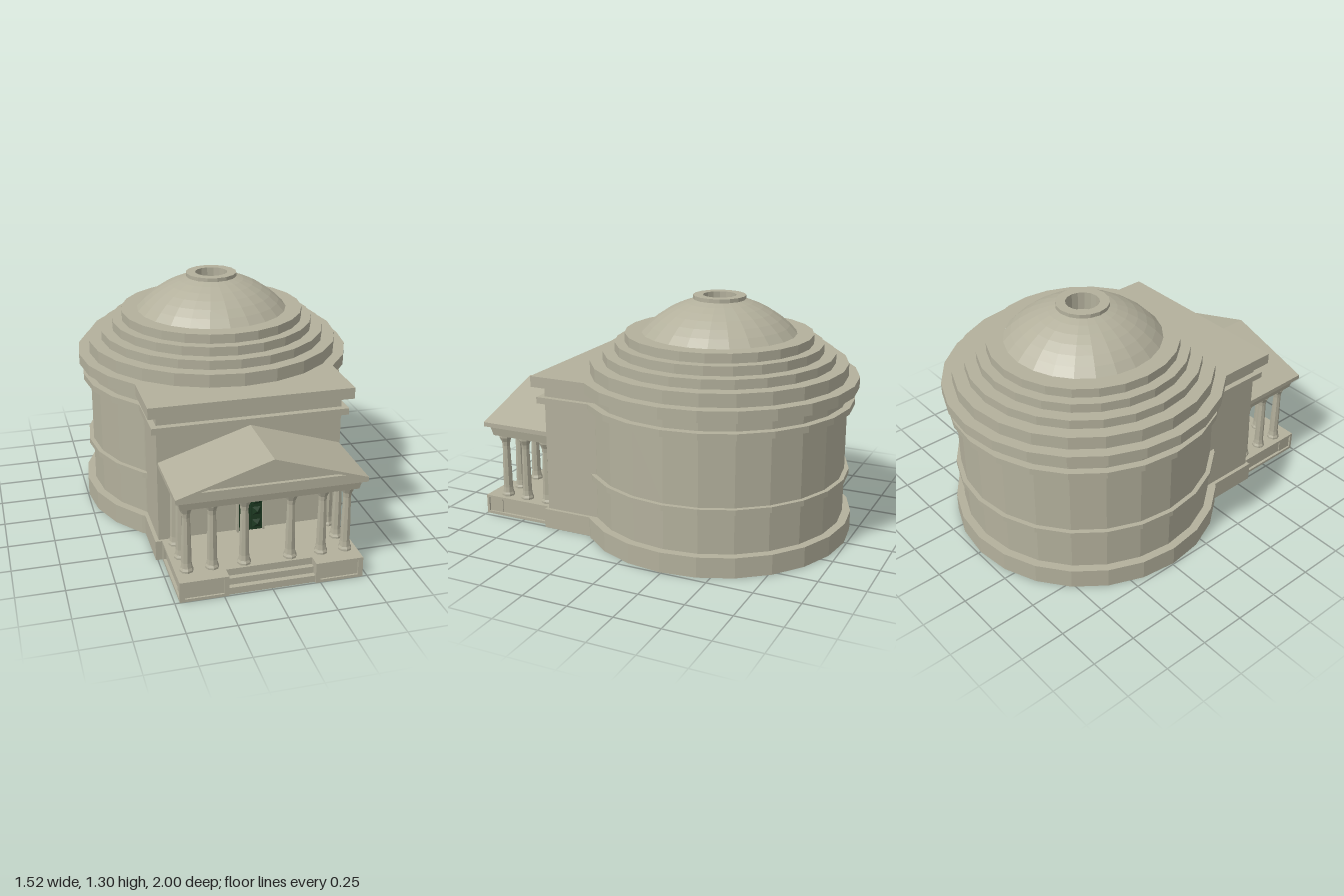
import * as THREE from 'three';

const stone = new THREE.MeshStandardMaterial({ color: 0xb3b09c });
stone.name = 'stone';
const green = new THREE.MeshStandardMaterial({ color: 0x1d3a22 });
green.name = 'doorGreen';

const DRUM_Z = -0.24;
const WALL_Z = 0.57;

export function createModel() {
  const model = new THREE.Group();
  model.name = 'domedTemple';

  // Adds a faceted mesh
  function add(name, geometry, material = stone, x = 0, y = 0, z = 0, parent = model) {
    const flat = geometry.index ? geometry.toNonIndexed() : geometry;
    flat.computeVertexNormals();
    const mesh = new THREE.Mesh(flat, material);
    mesh.name = name;
    mesh.position.set(x, y, z);
    parent.add(mesh);
    return mesh;
  }

  // Box given by its limits on each axis
  function box(name, x0, x1, y0, y1, z0, z1, material = stone) {
    return add(name, new THREE.BoxGeometry(x1 - x0, y1 - y0, z1 - z0), material,
      (x0 + x1) / 2, (y0 + y1) / 2, (z0 + z1) / 2);
  }

  function lathe(name, profile, sides, x = 0, y = 0, z = 0) {
    const points = profile.map(([r, h]) => new THREE.Vector2(r, h));
    return add(name, new THREE.LatheGeometry(points, sides), stone, x, y, z);
  }

  function polygon(points, hole) {
    const shape = new THREE.Shape(points.map(([x, y]) => new THREE.Vector2(x, y)));
    if (hole) shape.holes.push(new THREE.Path(hole.map(([x, y]) => new THREE.Vector2(x, y))));
    return shape;
  }

  const extrude = (shape, depth) => new THREE.ExtrudeGeometry(shape, { depth, bevelEnabled: false });
  const rect = (x0, x1, y0, y1) => [[x0, y0], [x1, y0], [x1, y1], [x0, y1]];

  // Drum with its base, string courses, cornice and stepped rings
  lathe('drum', [
    [0, 0], [0.745, 0], [0.745, 0.11], [0.7, 0.11],
    [0.7, 0.33], [0.725, 0.33], [0.725, 0.36], [0.7, 0.36],
    [0.7, 0.725], [0.74, 0.725], [0.74, 0.76], [0.7, 0.76],
    [0.7, 0.82], [0.76, 0.82], [0.76, 0.88], [0.7, 0.88],
    [0.7, 0.95], [0.63, 0.95], [0.63, 1.0], [0.565, 1.0], [0.565, 1.05],
    [0.51, 1.05], [0.51, 1.1], [0.42, 1.1],
  ], 24, 0, 0, DRUM_Z);

  // Shallow spherical dome, open at the top
  const dome = [];
  for (let i = 0; i <= 6; i++) {
    const a = THREE.MathUtils.lerp(Math.asin(0.42 / 0.559), Math.asin(0.125 / 0.559), i / 6);
    dome.push([0.559 * Math.sin(a), 0.731 + 0.559 * Math.cos(a)]);
  }
  lathe('dome', dome, 24, 0, 0, DRUM_Z);
  lathe('oculusRing', [
    [0.125, 1.277], [0.142, 1.277], [0.142, 1.298], [0.09, 1.298], [0.09, 1.2], [0, 1.2],
  ], 16, 0, 0, DRUM_Z);

  // Rectangular block joining drum and porch
  box('blockWall', -0.49, 0.49, 0, 0.85, DRUM_Z, WALL_Z);
  box('blockBase', -0.51, 0.51, 0, 0.11, DRUM_Z, 0.585);
  box('blockStringCourse', -0.52, 0.52, 0.725, 0.76, DRUM_Z, 0.605);
  box('blockCornice', -0.54, 0.54, 0.82, 0.88, DRUM_Z, 0.625);

  // Porch floor and steps
  box('porchFloor', -0.46, 0.46, 0, 0.11, WALL_Z, 0.935);
  box('lowerStep', -0.225, 0.225, 0, 0.037, 0.92, 0.99);
  box('middleStep', -0.225, 0.225, 0, 0.073, 0.92, 0.962);

  // Pedestals beside the steps, with recessed panels
  for (const side of [-1, 1]) {
    const inner = side * 0.225, outer = side * 0.465;
    box('pedestal', Math.min(inner, outer), Math.max(inner, outer), 0, 0.11, 0.9, 0.99);
    const xs = [side * 0.225, side * 0.475].sort((a, b) => a - b);
    add('pedestalFrontFrame', extrude(polygon(rect(xs[0], xs[1], 0, 0.11),
      rect(xs[0] + 0.025, xs[1] - 0.025, 0.015, 0.098)), 0.01), stone, 0, 0, 0.99);
    const frame = add('pedestalSideFrame', extrude(polygon(rect(-1, -WALL_Z, 0, 0.11),
      rect(-0.985, -0.61, 0.015, 0.098)), 0.015), stone, side > 0 ? 0.46 : -0.475, 0, 0);
    frame.rotation.y = Math.PI / 2;
  }

  // Columns: a front row and two more along each side
  const column = [
    [0, 0], [0.036, 0], [0.036, 0.01], [0.03, 0.022], [0.026, 0.05], [0.025, 0.15],
    [0.021, 0.3], [0.024, 0.325], [0.036, 0.352], [0.036, 0.367], [0, 0.367],
  ];
  for (const side of [-1, 1]) {
    const spots = [[0.415, 0.89], [0.285, 0.89], [0.12, 0.89], [0.415, 0.76], [0.415, 0.625]];
    for (const [x, z] of spots) lathe('column', column, 8, side * x, 0.11, z);
  }

  // Entablature, slightly wider at the top
  const beam = new THREE.BoxGeometry(0.91, 0.055, 0.375);
  const p = beam.attributes.position;
  for (let i = 0; i < p.count; i++) {
    if (p.getY(i) > 0) {
      p.setX(i, p.getX(i) * 1.025);
      if (p.getZ(i) > 0) p.setZ(i, p.getZ(i) + 0.012);
    }
  }
  add('entablature', beam, stone, 0, 0.5025, 0.7575);

  // Gabled roof with a recessed triangle in the front
  const gable = [[-0.485, 0.53], [0.485, 0.53], [0.485, 0.555], [0, 0.71], [-0.485, 0.555]];
  add('porchRoof', extrude(polygon(gable), 0.395), stone, 0, 0, WALL_Z);
  add('pedimentFrame', extrude(polygon(gable, [[-0.365, 0.58], [0.365, 0.58], [0, 0.675]]), 0.02),
    stone, 0, 0, 0.965);

  // Double door with raised square studs
  add('doorFrame', extrude(polygon(
    [[-0.075, 0.11], [-0.065, 0.11], [-0.065, 0.352], [0.065, 0.352], [0.065, 0.11],
      [0.075, 0.11], [0.075, 0.365], [-0.075, 0.365]]), 0.03), stone, 0, 0, WALL_Z);
  for (const side of [-1, 1]) {
    const x = side * 0.033;
    box('doorLeaf', x - 0.031, x + 0.031, 0.11, 0.352, WALL_Z, 0.588, green);
    for (const y of [0.148, 0.222, 0.285]) {
      const stud = new THREE.ConeGeometry(0.032, 0.018, 4, 1, true);
      stud.rotateY(Math.PI / 4);
      stud.rotateX(Math.PI / 2);
      add('doorStud', stud, green, x, y, 0.597);
    }
    box('doorTopPanel', x - 0.023, x + 0.023, 0.32, 0.344, 0.588, 0.594, green);
  }

  return model;
}
